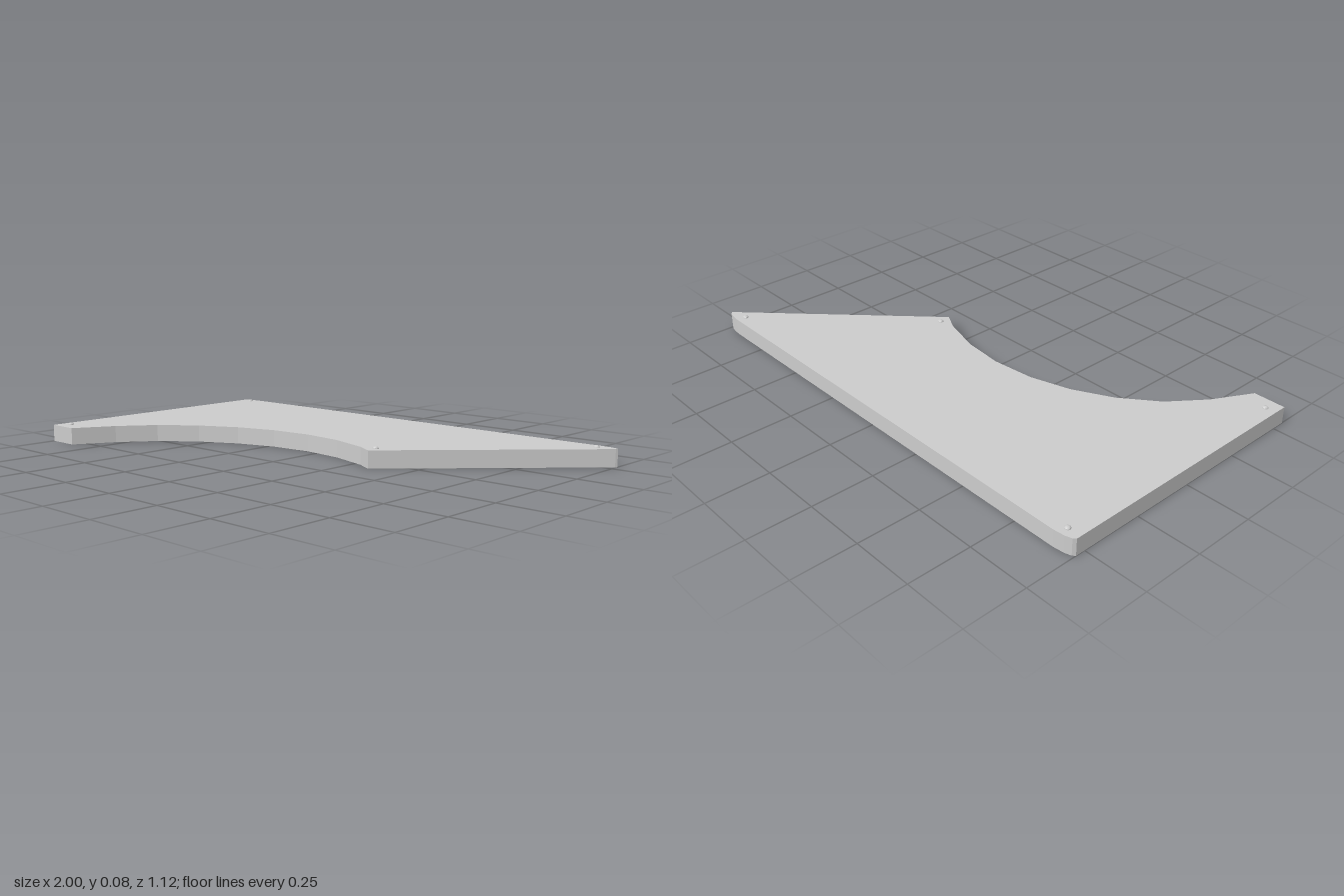
import * as THREE from 'three';

const THICKNESS = 0.068;

export function createModel() {
  const group = new THREE.Group();
  const material = new THREE.MeshStandardMaterial({ color: 0xcccccc, flatShading: true });

  // Plate outline as [x, z]
  const outline = [
    // front left foot and faceted concave arch
    [-1, 0.555], [-0.87, 0.555], [-0.785, 0.397], [-0.68, 0.26], [-0.543, 0.15], [-0.39, 0.07],
    [-0.227, 0.021], [-0.052, 0.004], [0.117, 0.021], [0.28, 0.07], [0.35, 0.108],
    // slanted side up to the rounded back corners
    [0.995, -0.533], [1, -0.541], [0.99, -0.55], [0.968, -0.556], [0.93, -0.56],
    [-0.92, -0.56], [-0.965, -0.555], [-0.99, -0.547], [-1, -0.538],
  ];
  const shape = new THREE.Shape(outline.map(([x, z]) => new THREE.Vector2(x, -z)));
  const plateGeometry = new THREE.ExtrudeGeometry(shape, { depth: THICKNESS, bevelEnabled: false });
  plateGeometry.rotateX(-Math.PI / 2);
  const plate = new THREE.Mesh(plateGeometry, material);
  plate.name = 'plate';
  group.add(plate);

  // Domed fastener heads near the corners
  const headGeometry = new THREE.SphereGeometry(0.012, 12, 4, 0, Math.PI * 2, 0, Math.PI / 2);
  headGeometry.scale(1, 0.7, 1);
  [[-0.945, -0.522], [0.922, -0.522], [0.344, 0.058], [-0.955, 0.5]].forEach(([x, z], i) => {
    const head = new THREE.Mesh(headGeometry, material);
    head.name = `fastenerHead${i + 1}`;
    head.position.set(x, THICKNESS, z);
    group.add(head);
  });

  return group;
}
